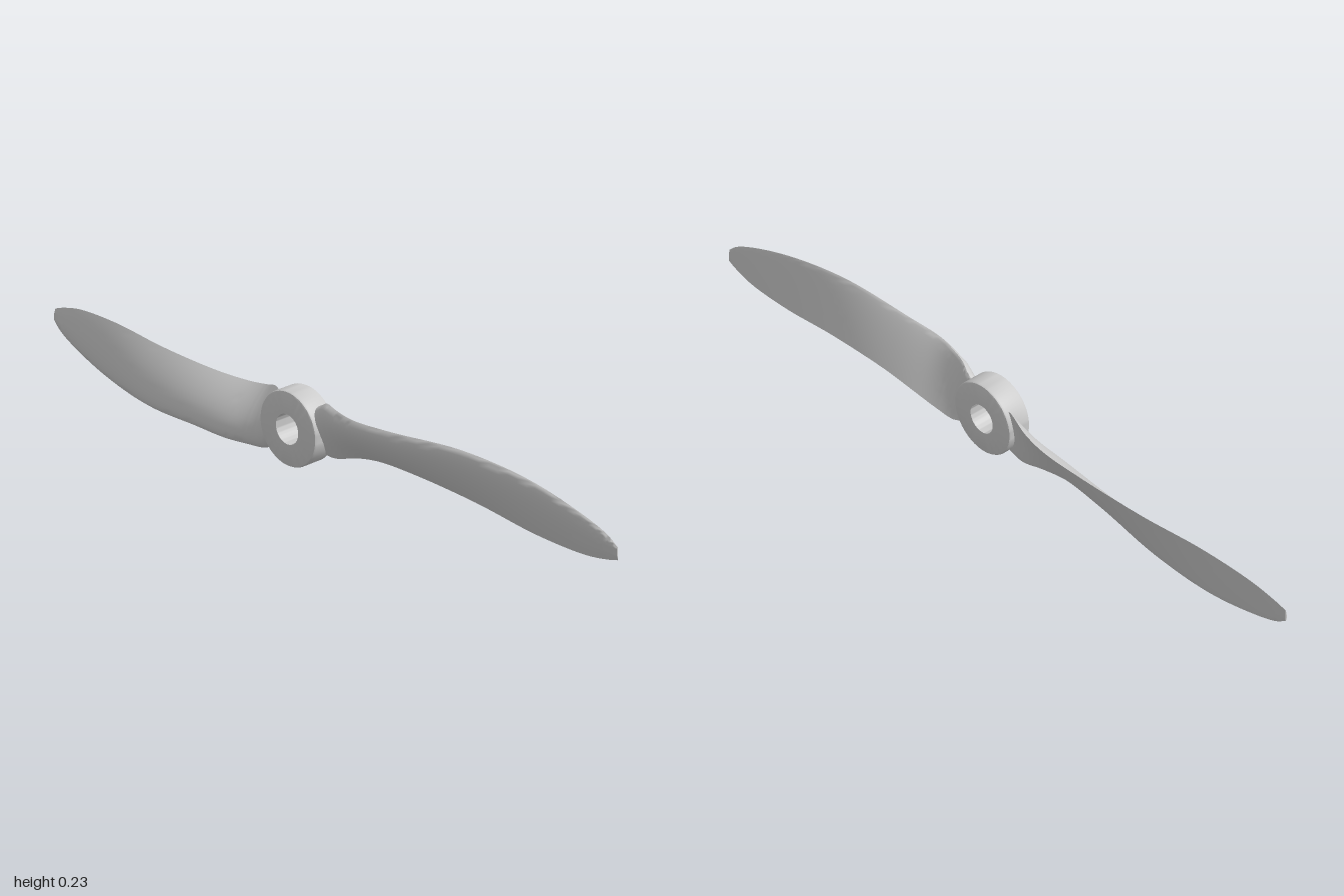
import * as THREE from 'three';
import { toCreasedNormals } from 'three/addons/utils/BufferGeometryUtils.js';

const HUB_Y = 0.12;

// Blade stations: x, leading edge y z, trailing edge y z, thickness (y from the hub axis)
const STATIONS = [
  [0.05, 0.06, -0.005, -0.045, -0.015, 0.025],
  [0.085, 0.08, -0.002, -0.06, -0.02, 0.032],
  [0.11, 0.094, 0.006, -0.064, -0.03, 0.032],
  [0.16, 0.095, 0.022, -0.05, -0.042, 0.03],
  [0.23, 0.096, 0.036, -0.037, -0.048, 0.027],
  [0.35, 0.102, 0.03, -0.03, -0.046, 0.024],
  [0.56, 0.117, 0.01, -0.034, -0.044, 0.02],
  [0.75, 0.1, -0.01, -0.049, -0.042, 0.015],
  [0.9, 0.062, -0.022, -0.046, -0.04, 0.01],
  [0.97, 0.034, -0.028, -0.032, -0.037, 0.007],
  [1.0, 0.012, -0.031, -0.022, -0.035, 0.004],
];

// Twisted airfoil skin lofted along the stations
function bladeGeometry() {
  const curve = (f) => new THREE.CatmullRomCurve3(STATIONS.map(f));
  const leading = curve((s) => new THREE.Vector3(s[0], s[1], s[2]));
  const trailing = curve((s) => new THREE.Vector3(s[0], s[3], s[4]));
  const thickness = curve((s) => new THREE.Vector3(s[0], s[5], 0));
  const rows = 70, half = 14, ring = half * 2;
  const pos = [], index = [];

  for (let i = 0; i <= rows; i++) {
    const le = leading.getPoint(i / rows);
    const te = trailing.getPoint(i / rows);
    const t = thickness.getPoint(i / rows).y;
    const chord = te.clone().sub(le);
    const normal = new THREE.Vector3(0, chord.z, -chord.y).normalize();
    for (let j = 0; j < ring; j++) {
      const a = (j / half) * Math.PI;
      const s = (1 - Math.cos(a)) / 2;
      // full camber on the front, nearly flat on the back
      const h = 2.6 * Math.sqrt(s) * (1 - s) * t * (j <= half ? 1 : -0.15);
      const p = le.clone().addScaledVector(chord, s).addScaledVector(normal, h);
      pos.push(p.x, p.y, p.z);
    }
  }
  for (let i = 0; i < rows; i++) {
    for (let j = 0; j < ring; j++) {
      const a = i * ring + j, b = i * ring + ((j + 1) % ring);
      index.push(a, b, a + ring, b, b + ring, a + ring);
    }
  }
  // root and tip caps, as strips between front and back
  const last = rows * ring;
  for (let j = 0; j < half; j++) {
    const a = j, b = j + 1, c = ring - j - 1, d = (ring - j) % ring;
    index.push(a, c, b, a, d, c);
    index.push(last + a, last + b, last + c, last + a, last + c, last + d);
  }
  const g = new THREE.BufferGeometry();
  g.setAttribute('position', new THREE.Float32BufferAttribute(pos, 3));
  g.setIndex(index);
  return toCreasedNormals(g, 1.0);
}

// Bored ring with softened outer edges
function hubGeometry() {
  const profile = [
    [0.04, -0.034], [0.094, -0.034], [0.098, -0.032], [0.1, -0.028],
    [0.1, 0.03], [0.098, 0.034], [0.094, 0.036], [0.04, 0.036], [0.04, -0.034],
  ].map(([r, y]) => new THREE.Vector2(r, y));
  const g = new THREE.LatheGeometry(profile, 64);
  g.rotateX(Math.PI / 2);
  return toCreasedNormals(g, 0.6);
}

export function createModel() {
  const material = new THREE.MeshStandardMaterial({ color: 0xcccccc });
  const model = new THREE.Group();
  model.name = 'propeller';

  const hub = new THREE.Mesh(hubGeometry(), material);
  hub.name = 'hub';
  hub.position.y = HUB_Y;
  model.add(hub);

  // two blades, half a turn apart
  const geometry = bladeGeometry();
  ['leftBlade', 'rightBlade'].forEach((name, i) => {
    const blade = new THREE.Mesh(geometry, material);
    blade.name = name;
    blade.position.y = HUB_Y;
    blade.rotation.z = i * Math.PI;
    model.add(blade);
  });
  return model;
}
